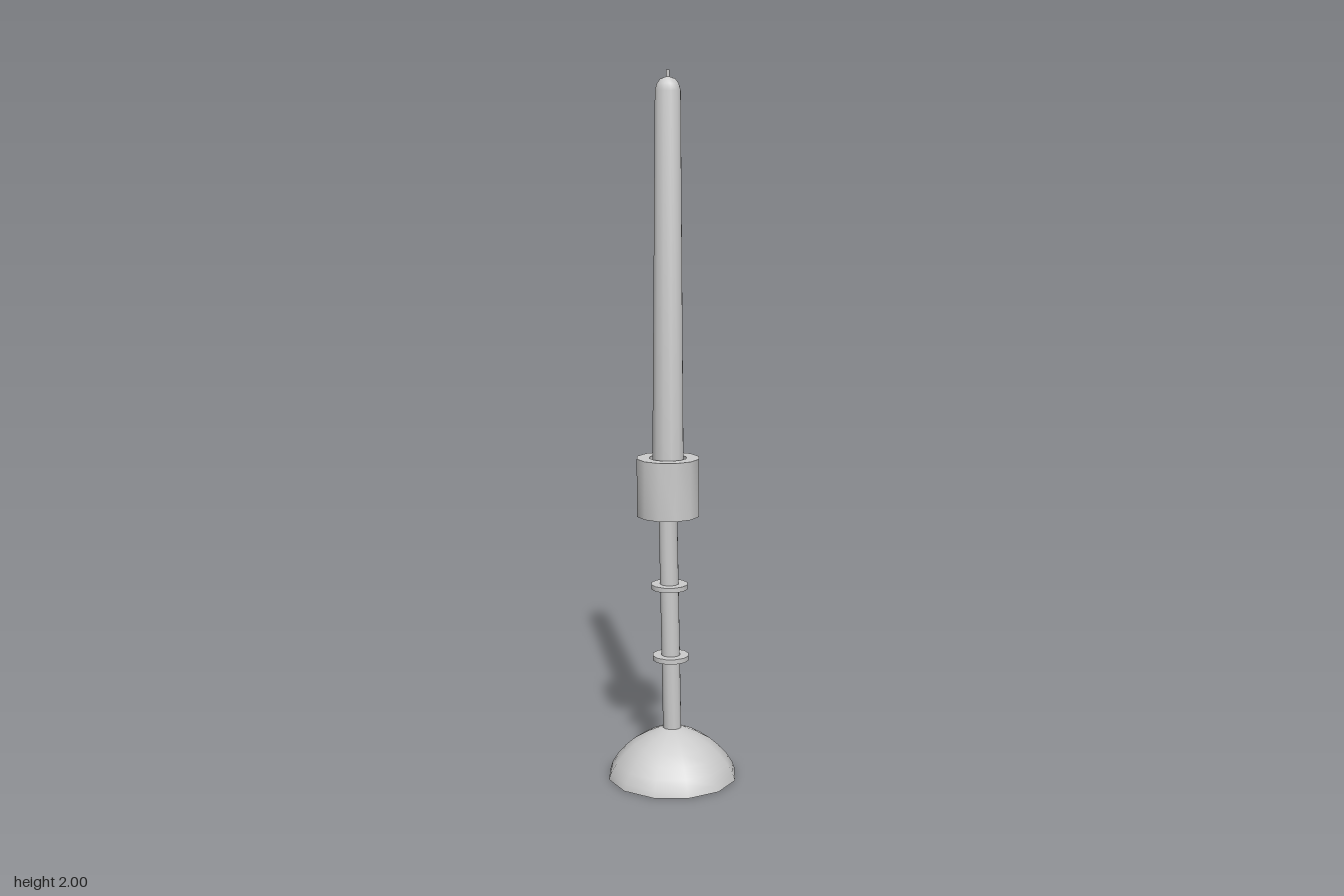
import * as THREE from 'three';
import { toCreasedNormals } from 'three/addons/utils/BufferGeometryUtils.js';

const SIDES = 12;

export function createModel() {
  const group = new THREE.Group();
  group.name = 'candlestick';
  const material = new THREE.MeshStandardMaterial({ color: 0xcccccc });

  // Turned part from [radius, height] points, listed from bottom to top
  function turned(name, profile, x = 0, z = 0) {
    const points = profile.map(([r, y]) => new THREE.Vector2(r, y));
    const geometry = toCreasedNormals(new THREE.LatheGeometry(points, SIDES), 0.8);
    const mesh = new THREE.Mesh(geometry, material);
    mesh.name = name;
    mesh.position.set(x, 0, z);
    group.add(mesh);
    return mesh;
  }

  // The stem leans slightly, so everything above the base sits off centre
  const topX = -0.011, topZ = -0.006;
  const stemBottom = 0.12, stemTop = 0.78;
  const lean = (y) => (y - stemBottom) / (stemTop - stemBottom);

  // Domed foot with a flat underside
  turned('base', [
    [0, 0], [0.188, 0], [0.182, 0.018], [0.166, 0.045], [0.142, 0.073],
    [0.112, 0.1], [0.075, 0.122], [0.028, 0.144], [0, 0.144],
  ]);

  // Stem, sheared along its lean
  const stem = turned('stem', [[0, stemBottom], [0.027, stemBottom], [0.027, stemTop], [0, stemTop]]);
  const position = stem.geometry.attributes.position;
  for (let i = 0; i < position.count; i++) {
    const t = lean(position.getY(i));
    position.setX(i, position.getX(i) + topX * t);
    position.setZ(i, position.getZ(i) + topZ * t);
  }

  // Thin collars around the stem
  for (const [name, y] of [['lowerCollar', 0.355], ['upperCollar', 0.565]]) {
    turned(name, [[0, y - 0.007], [0.053, y - 0.007], [0.053, y + 0.007], [0, y + 0.007]],
      topX * lean(y), topZ * lean(y));
  }

  // Hollow cup that holds the candle
  turned('cup', [
    [0, 0.772], [0.09, 0.772], [0.09, 0.937], [0.053, 0.937], [0.053, 0.8], [0, 0.8],
  ], topX, topZ);

  // Tapered candle with a rounded tip
  turned('candle', [
    [0, 0.8], [0.046, 0.8], [0.036, 1.945], [0.031, 1.963], [0.021, 1.976], [0, 1.983],
  ], topX, topZ);

  // Wick
  turned('wick', [[0, 1.97], [0.005, 1.97], [0.005, 2], [0, 2]], topX, topZ);

  return group;
}
